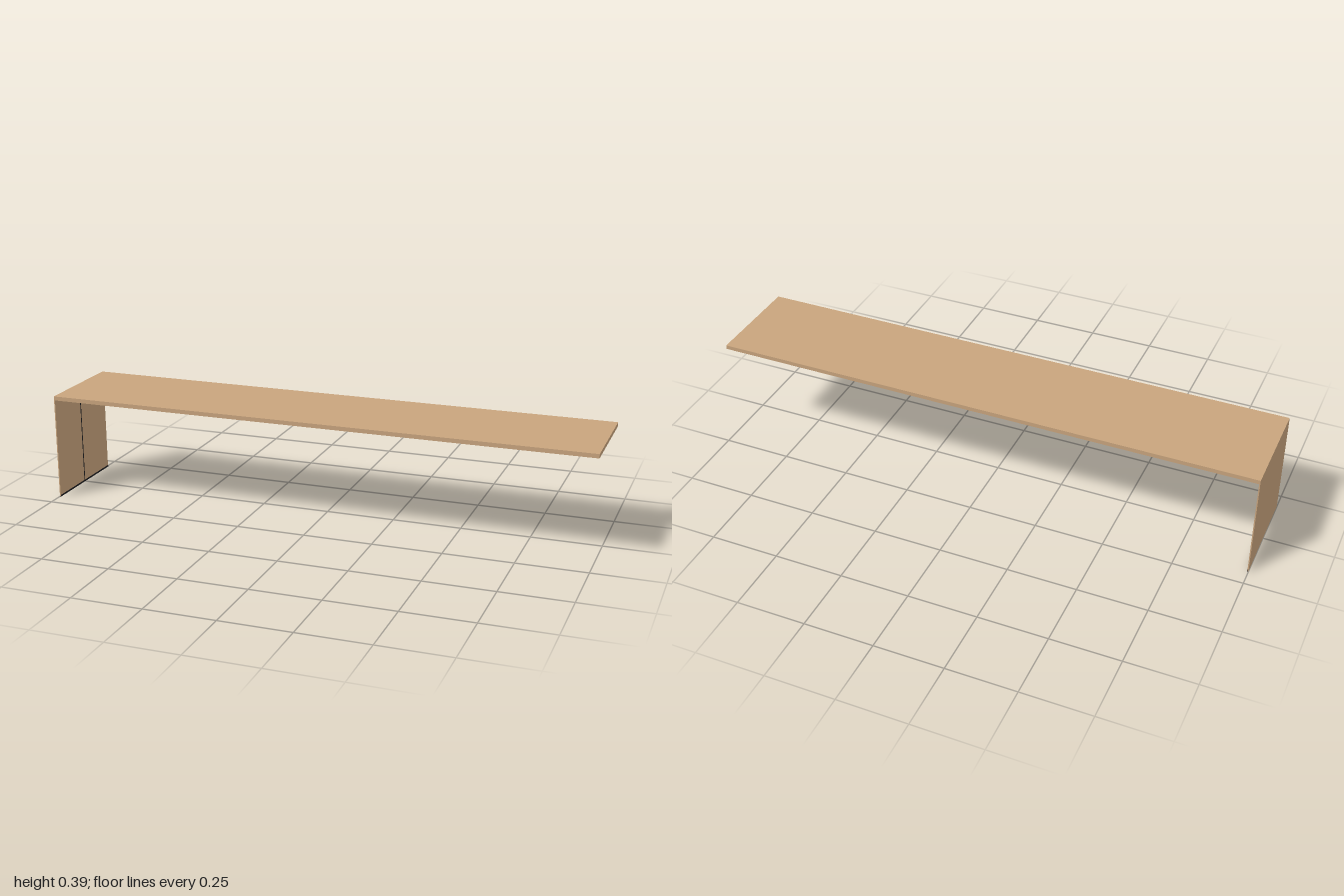
import * as THREE from 'three';

export function createModel() {
  const model = new THREE.Group();
  const wood = new THREE.MeshStandardMaterial({ color: 0xc8a47d });
  wood.name = 'lightWood';
  const black = new THREE.MeshStandardMaterial({ color: 0x1c1c1e });
  black.name = 'blackTrim';

  // Box given by its lower and upper corners
  function box(name, material, [x0, y0, z0], [x1, y1, z1], parent = model) {
    const mesh = new THREE.Mesh(new THREE.BoxGeometry(x1 - x0, y1 - y0, z1 - z0), material);
    mesh.position.set((x0 + x1) / 2, (y0 + y1) / 2, (z0 + z1) / 2);
    mesh.name = name;
    parent.add(mesh);
    return mesh;
  }

  const half = 0.187, under = 0.375, top = 0.39;

  // Deck of ten boards laid end to end
  const deck = new THREE.Group();
  deck.name = 'deck';
  model.add(deck);
  const seams = [-1];
  for (let i = 0; i <= 8; i++) seams.push(-0.79 + i * 0.1975);
  seams.push(1);
  for (let i = 0; i < seams.length - 1; i++) {
    box('deckBoard', wood, [seams[i], under, -half], [seams[i + 1], top, half], deck);
  }

  // Thin end panel standing under the right end, with its lower rail
  const endPanel = new THREE.Group();
  endPanel.name = 'endPanel';
  model.add(endPanel);
  const inner = -0.996;
  box('panel', wood, [-1, 0.015, -half], [inner, under, half], endPanel);
  box('lowerRail', wood, [-1, 0.001, -half], [inner, 0.015, half], endPanel);

  // Black centre strip and foot strip on the inner face
  box('centreStrip', black, [inner, 0.006, 0.001], [inner + 0.001, under, 0.005], endPanel);
  box('footStrip', black, [-0.999, 0, -half], [inner + 0.001, 0.006, half], endPanel);

  return model;
}
